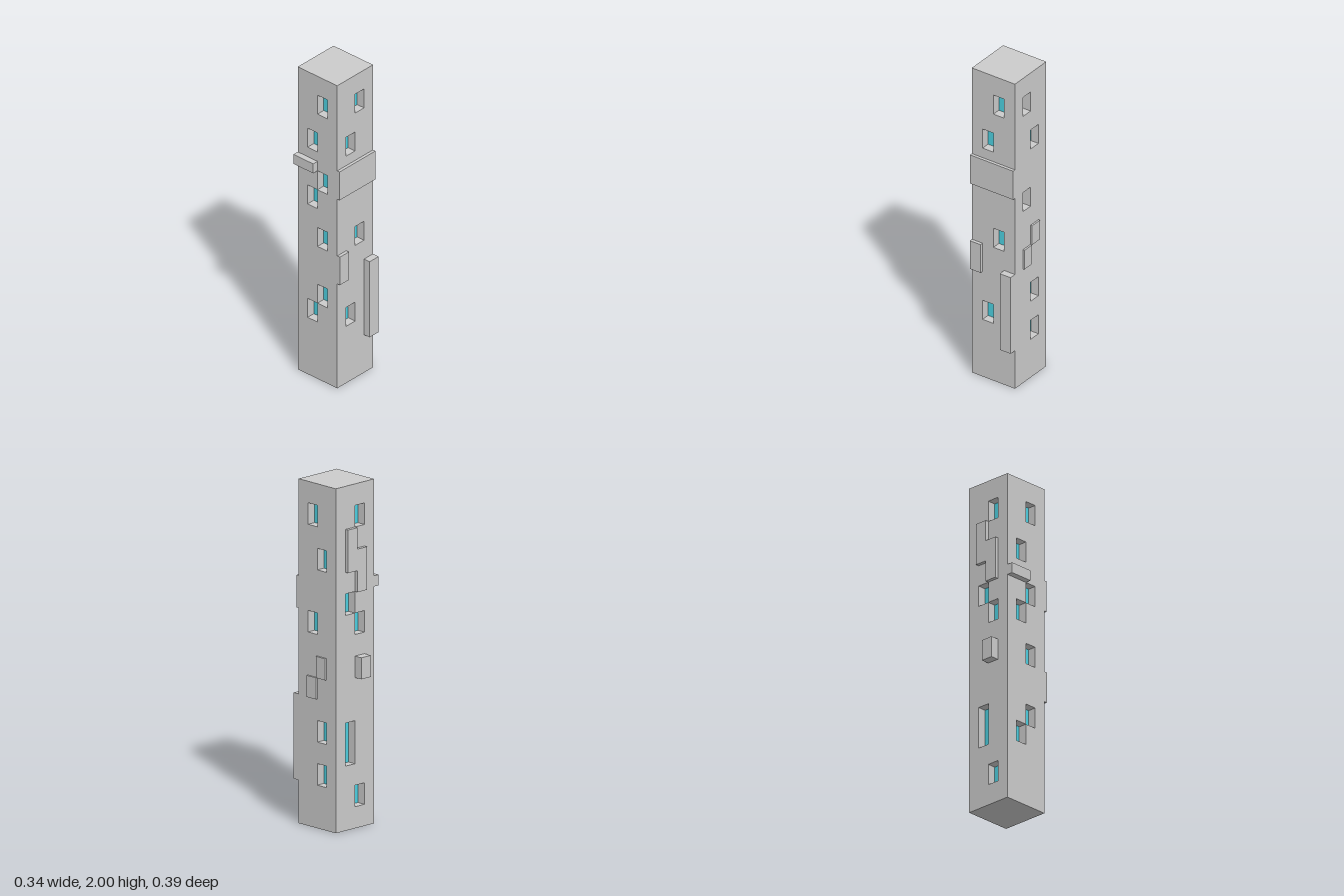
import * as THREE from 'three';

const HALF = 0.149;        // half width of the square shaft
const COL = HALF / 2;      // four columns per side
const ROW = 0.125;         // sixteen rows
const WALL = 0.06;         // wall thickness
const RECESS = 0.052;      // depth of the glass behind the wall face

const grey = new THREE.MeshStandardMaterial({ color: 0xcccccc });
const cyan = new THREE.MeshStandardMaterial({ color: 0x4dd0e1 });

// Columns run left to right as seen from outside the side.
// windows: [column, bottom row, rows high]; panels: [col from, col to, y from, y to, thickness]
const SIDES = [
  {
    name: 'front', turn: 0,
    windows: [[2, 14, 1], [1, 12, 1], [2, 7, 1], [1, 3, 1]],
    panels: [[0, 4, 1.25, 1.4375, 0.018], [0, 1, 0.69, 0.875, 0.02], [3, 4, 0.25, 0.75, 0.042]],
  },
  {
    name: 'left', turn: Math.PI / 2,
    windows: [[1, 14, 1], [2, 12, 1], [1, 9, 1], [2, 4, 1], [2, 2, 1]],
    panels: [[1, 2, 0.75, 0.875, 0.011], [2, 3, 0.875, 1, 0.011]],
  },
  {
    name: 'back', turn: Math.PI,
    windows: [[2, 14, 1], [1, 10, 1], [2, 9, 1], [1, 3, 2], [2, 1, 1]],
    panels: [[1, 2, 1.5, 1.75, 0.021], [2, 3, 1.375, 1.625, 0.021], [2, 3, 0.875, 1, 0.051]],
  },
  {
    name: 'right', turn: -Math.PI / 2,
    windows: [[2, 14, 1], [1, 12, 1], [2, 10, 1], [1, 9, 1], [2, 7, 1], [2, 4, 1], [1, 3, 1]],
    panels: [[0, 2, 1.375, 1.4375, 0.036]],
  },
];

// Box given by its limits
function box(name, material, x0, x1, y0, y1, z0, z1) {
  const mesh = new THREE.Mesh(new THREE.BoxGeometry(x1 - x0, y1 - y0, z1 - z0), material);
  mesh.position.set((x0 + x1) / 2, (y0 + y1) / 2, (z0 + z1) / 2);
  mesh.name = name;
  return mesh;
}

function rectangle(target, x0, x1, y0, y1) {
  target.moveTo(x0, y0);
  target.lineTo(x1, y0);
  target.lineTo(x1, y1);
  target.lineTo(x0, y1);
  target.closePath();
  return target;
}

const colX = (c) => c * COL - HALF;

function createSide({ name, turn, windows, panels }, w) {
  const side = new THREE.Group();
  side.name = name + 'Side';
  side.rotation.y = turn;

  // Wall with window openings
  const shape = rectangle(new THREE.Shape(), -w, w, 0, 2);
  for (const [c, r, n] of windows) {
    const x0 = colX(c), x1 = colX(c + 1), y0 = r * ROW, y1 = (r + n) * ROW;
    shape.holes.push(rectangle(new THREE.Path(), x0, x1, y0, y1));
    side.add(box('windowGlass', cyan, x0, x1, y0, y1, HALF - WALL, HALF - RECESS));
  }
  const wall = new THREE.Mesh(
    new THREE.ExtrudeGeometry(shape, { depth: WALL, bevelEnabled: false }), grey);
  wall.position.z = HALF - WALL;
  wall.name = name + 'Wall';
  side.add(wall);

  // Raised panels and ledges
  for (const [c0, c1, y0, y1, t] of panels) {
    side.add(box('raisedPanel', grey, colX(c0), colX(c1), y0, y1, HALF, HALF + t));
  }
  return side;
}

export function createModel() {
  const tower = new THREE.Group();
  tower.name = 'tower';
  const shaft = new THREE.Group();
  shaft.name = 'shaft';
  shaft.position.set(0.012, 0, 0.004);

  // Solid core closes the top and bottom between the walls
  const inner = HALF - WALL;
  shaft.add(box('core', grey, -inner, inner, 0, 2, -inner, inner));

  // Front and back walls are full width, the other two fit between them
  SIDES.forEach((s, i) => shaft.add(createSide(s, i % 2 ? inner : HALF)));

  tower.add(shaft);
  return tower;
}
